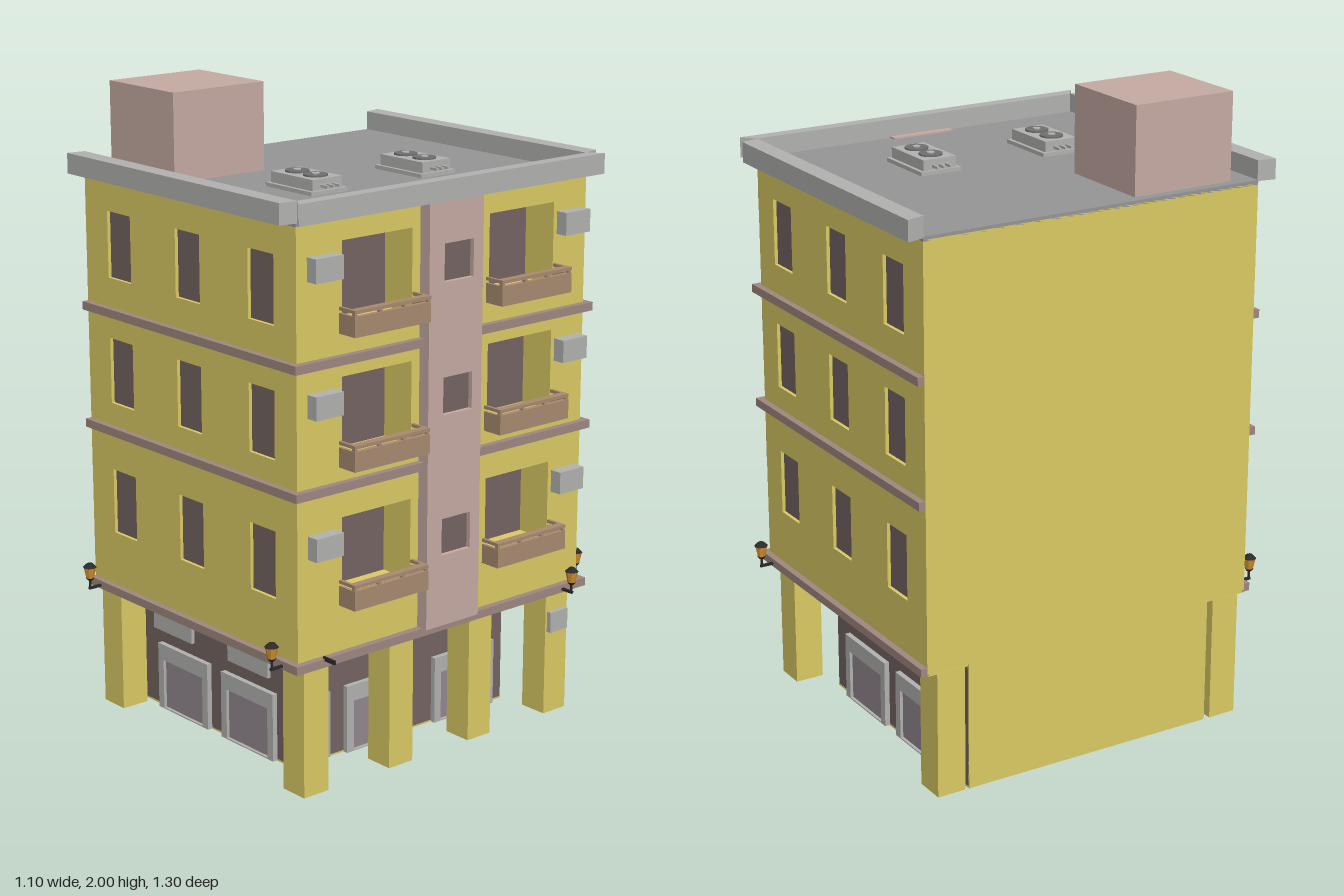
import * as THREE from 'three';

const mat = (color) => new THREE.MeshStandardMaterial({ color, flatShading: true });
const M = {
  yellow: mat(0xdccb64), pink: mat(0xc6aba2), dark: mat(0x736462), grey: mat(0xb2b2b0), roof: mat(0x969696),
  brown: mat(0xa88a70), trim: mat(0xa08880), door: mat(0xa9aabb), shutter: mat(0x938890),
  fan: mat(0x707070), orange: mat(0xd9942e), black: mat(0x2a2a2a),
};

function add(parent, name, geo, m) {
  const mesh = new THREE.Mesh(geo, m);
  mesh.name = name;
  parent.add(mesh);
  return mesh;
}

// Box given by its limits on each axis
function box(parent, name, m, x0, x1, y0, y1, z0, z1) {
  const mesh = add(parent, name, new THREE.BoxGeometry(x1 - x0, y1 - y0, z1 - z0), m);
  mesh.position.set((x0 + x1) / 2, (y0 + y1) / 2, (z0 + z1) / 2);
  return mesh;
}

const rect = (T, u0, u1, v0, v1) => {
  const p = new T();
  p.moveTo(u0, v0); p.lineTo(u1, v0); p.lineTo(u1, v1); p.lineTo(u0, v1); p.closePath();
  return p;
};

// Wall slab in the local xy plane with rectangular openings
function wall(parent, name, m, [u0, u1, v0, v1], holes, depth) {
  const shape = rect(THREE.Shape, u0, u1, v0, v1);
  for (const h of holes) shape.holes.push(rect(THREE.Path, ...h));
  return add(parent, name, new THREE.ExtrudeGeometry(shape, { depth, bevelEnabled: false }), m);
}

// Group whose local +z is turned to face one side of the building
function side(root, name, angle, x, z) {
  const g = new THREE.Group();
  g.name = name;
  g.rotation.y = angle;
  g.position.set(x, 0, z);
  root.add(g);
  return g;
}

const FLOORS = [-0.815, -0.395, 0]; // offsets from the top storey
const BALCONIES = [-0.27, 0.302];   // centres along the balcony side

function shopfront(g, u) {
  const w = 0.127;
  wall(g, 'shopFrame', M.grey, [u - w, u + w, 0, 0.217], [[u - 0.1, u + 0.1, 0.004, 0.165]], 0.017);
  box(g, 'shopShutter', M.shutter, u - 0.1, u + 0.1, 0.004, 0.165, 0, 0.007);
}

function wallLamp(g, u) {
  const lamp = new THREE.Group();
  lamp.name = 'wallLamp';
  lamp.position.set(u, 0, 0);
  g.add(lamp);
  box(lamp, 'lampArm', M.black, -0.004, 0.004, 0.412, 0.42, 0, 0.05);
  const parts = [
    ['lampStem', 0.004, 0.004, 0.03, 0.432, M.black], ['lampFoot', 0.014, 0.008, 0.008, 0.446, M.black],
    ['lampGlass', 0.02, 0.012, 0.036, 0.467, M.orange], ['lampCap', 0.01, 0.022, 0.012, 0.491, M.black],
  ];
  for (const [name, rt, rb, h, y, m] of parts) {
    add(lamp, name, new THREE.CylinderGeometry(rt, rb, h, 8), m).position.set(0, y, 0.045);
  }
}

function balcony(g, u, dy) {
  const b = new THREE.Group();
  b.name = 'balcony';
  b.position.set(u, dy, 0);
  g.add(b);
  const w = 0.144;
  box(b, 'balconyFloor', M.yellow, -w + 0.01, w - 0.01, 1.395, 1.403, -0.005, 0.06);
  box(b, 'balconyBase', M.brown, -w, w, 1.388, 1.396, -0.005, 0.07);
  box(b, 'balconyFront', M.brown, -w, w, 1.39, 1.448, 0.055, 0.07);
  box(b, 'balconyRail', M.brown, -w, w, 1.456, 1.466, 0.045, 0.07);
  for (const s of [-1, 1]) {
    const x = s * (w - 0.005);
    box(b, 'balconySide', M.brown, x - 0.005, x + 0.005, 1.39, 1.448, -0.005, 0.06);
    box(b, 'balconySideRail', M.brown, x - 0.005, x + 0.005, 1.456, 1.466, -0.005, 0.05);
  }
  for (let i = 0; i < 4; i++) {
    const x = -w + 0.006 + i * (2 * w - 0.012) / 3;
    box(b, 'railPost', M.brown, x - 0.005, x + 0.005, 1.445, 1.458, 0.056, 0.068);
  }
}

function roofUnit(root, x, z) {
  const g = new THREE.Group();
  g.name = 'roofUnit';
  g.position.set(x, 1.73, z);
  root.add(g);
  box(g, 'unitBase', M.grey, -0.105, 0.105, 0, 0.012, -0.068, 0.068);
  box(g, 'unitBody', M.grey, -0.095, 0.095, 0.012, 0.045, -0.056, 0.056);
  for (const fx of [-0.042, 0.042]) {
    add(g, 'fan', new THREE.CylinderGeometry(0.036, 0.036, 0.006, 20), M.fan).position.set(fx, 0.047, 0);
    add(g, 'fanHub', new THREE.CylinderGeometry(0.012, 0.012, 0.006, 12), M.grey).position.set(fx, 0.05, 0);
  }
  for (const pz of [-0.022, 0, 0.022]) {
    box(g, 'unitPipe', M.grey, -0.125, 0.125, 0.02, 0.028, pz - 0.004, pz + 0.004);
  }
}

// Parapet strip: plan outline (x, z) pulled upward
function parapet(root, pts) {
  const shape = new THREE.Shape(pts.map(([x, z]) => new THREE.Vector2(x, -z)));
  const mesh = add(root, 'parapet', new THREE.ExtrudeGeometry(shape, { depth: 0.063, bevelEnabled: false }), M.grey);
  mesh.rotation.x = -Math.PI / 2;
  mesh.position.y = 1.726;
}

export function createModel() {
  const root = new THREE.Group();
  root.name = 'apartmentBuilding';

  // Upper storeys: core, underside and roof
  box(root, 'core', M.yellow, -0.535, 0.345, 0.41, 1.72, -0.555, 0.555);
  box(root, 'underside', M.yellow, -0.534, 0.469, 0.402, 0.415, -0.569, 0.569);
  box(root, 'roofDeck', M.roof, -0.535, 0.47, 1.715, 1.73, -0.57, 0.57);

  // Front and back walls with windows, shops, signs
  for (const s of [1, -1]) {
    const angle = s > 0 ? 0 : Math.PI;
    const upper = side(root, s > 0 ? 'frontWall' : 'backWall', angle, 0, s * 0.555);
    const holes = [];
    for (const dy of FLOORS) for (const x of [-0.365, -0.027, 0.313]) {
      const u = s * x;
      holes.push([u - 0.058, u + 0.058, 1.417 + dy, 1.623 + dy]);
    }
    const ends = s > 0 ? [-0.535, 0.47] : [-0.47, 0.535];
    wall(upper, 'wall', M.yellow, [...ends, 0.41, 1.716], holes, 0.015);
    for (const h of holes) box(upper, 'window', M.dark, ...h, -0.004, 0.004);

    const shop = side(root, s > 0 ? 'frontShops' : 'backShops', angle, 0, s * 0.43);
    for (const x of [-0.25, 0.073]) {
      shopfront(shop, s * x);
      const u = s * (x < 0 ? -0.305 : 0.072);
      box(shop, 'signBoard', M.grey, u - 0.098, u + 0.098, 0.26, 0.325, 0, 0.012);
    }
    const lamps = side(root, 'lamps', angle, 0, s * 0.585);
    for (const x of s > 0 ? [-0.48, 0.424] : [-0.41]) wallLamp(lamps, x);
  }

  // Balcony side: deep openings, balconies, cooling units (local x = -z)
  const right = side(root, 'balconyWall', Math.PI / 2, 0.47, 0);
  const openings = [];
  for (const dy of FLOORS) for (const u of BALCONIES) {
    openings.push([u - 0.133, u + 0.133, 1.403 + dy, 1.655 + dy]);
  }
  wall(right, 'wall', M.yellow, [-0.555, 0.555, 0.41, 1.716], openings, 0.12).position.z = -0.12;
  for (const h of openings) box(right, 'balconyWindow', M.dark, ...h, -0.127, -0.118);
  for (const dy of FLOORS) {
    for (const u of BALCONIES) balcony(right, u, dy);
    for (const u of [-0.48, 0.5]) {
      box(right, 'coolingUnit', M.grey, u - 0.051, u + 0.051, 1.555 + dy, 1.625 + dy, -0.005, 0.04);
    }
  }
  box(right, 'coolingUnit', M.grey, 0.45, 0.525, 0.275, 0.342, -0.01, 0.012);

  // Central stair strip with small windows
  const small = [-0.835, -0.4, 0].map((dy) => [-0.047, 0.068, 1.488 + dy, 1.602 + dy]);
  wall(right, 'stairStrip', M.pink, [-0.106, 0.106, 0.43, 1.735], small, 0.04);
  for (const h of small) box(right, 'stairWindow', M.dark, ...h, -0.005, 0.025);
  box(right, 'stairStripTop', M.pink, -0.106, 0.106, 1.716, 1.735, -0.025, 0.001);

  // Lamp and bare bracket on the balcony side
  const rightLamps = side(root, 'lamps', Math.PI / 2, 0.485, 0);
  wallLamp(rightLamps, 0.49);
  box(rightLamps, 'bareBracket', M.black, -0.488, -0.482, 0.425, 0.438, 0, 0.05);

  // Floor bands around three sides
  for (const y of [0.405, 0.925, 1.3]) {
    const t = y + 0.026;
    for (const s of [-1, 1]) {
      const z = s * 0.578;
      box(root, 'floorBand', M.trim, -0.535, 0.492, y, t, z - 0.013, z + 0.013);
      const zr = s * (y < 0.5 ? 0.283 : 0.336);
      const half = y < 0.5 ? 0.283 : 0.23;
      box(root, 'floorBandSide', M.trim, 0.466, 0.492, y, t, zr - half, zr + half);
    }
  }

  // Recessed ground floor with a flush party wall
  box(root, 'groundFloor', M.dark, -0.53, 0.28, 0.004, 0.41, -0.43, 0.43);
  box(root, 'partyWall', M.yellow, -0.535, -0.529, 0, 0.412, -0.43, 0.43);
  box(root, 'groundBase', M.yellow, -0.53, 0.281, 0, 0.005, -0.431, 0.431);
  const shops = side(root, 'sideShops', Math.PI / 2, 0.28, 0);
  box(shops, 'entranceDoor', M.door, -0.393, -0.297, 0.005, 0.217, 0, 0.012);
  for (const u of [-0.107, 0.255]) shopfront(shops, u);
  for (const u of [-0.345, -0.1, 0.252]) {
    const disc = add(shops, 'roundLight', new THREE.CylinderGeometry(0.024, 0.024, 0.016, 8), M.grey);
    disc.rotation.set(Math.PI / 2, Math.PI / 8, 0);
    disc.position.set(u, 0.266, 0.008);
  }

  // Columns
  for (const z of [0.498, 0.165, -0.16, -0.49]) {
    box(root, 'column', M.yellow, 0.37, 0.466, 0, 0.405, z - 0.047, z + 0.047);
  }
  for (const z of [0.498, -0.49]) {
    box(root, 'column', M.yellow, -0.535, -0.435, 0, 0.405, z - 0.047, z + 0.047);
  }

  // Roof: parapets on three sides, stair house, cooling units
  parapet(root, [[-0.55, -0.625], [0.455, -0.625], [0.47, -0.567], [-0.535, -0.567]]);
  parapet(root, [[-0.535, 0.567], [0.475, 0.567], [0.465, 0.625], [-0.545, 0.625]]);
  parapet(root, [[0.47, -0.57], [0.512, -0.605], [0.515, 0.598], [0.472, 0.565]]);
  box(root, 'stairHouse', M.pink, -0.505, -0.188, 1.728, 2, 0.15, 0.49);
  roofUnit(root, 0.12, -0.188);
  roofUnit(root, 0.12, 0.24);
  return root;
}
